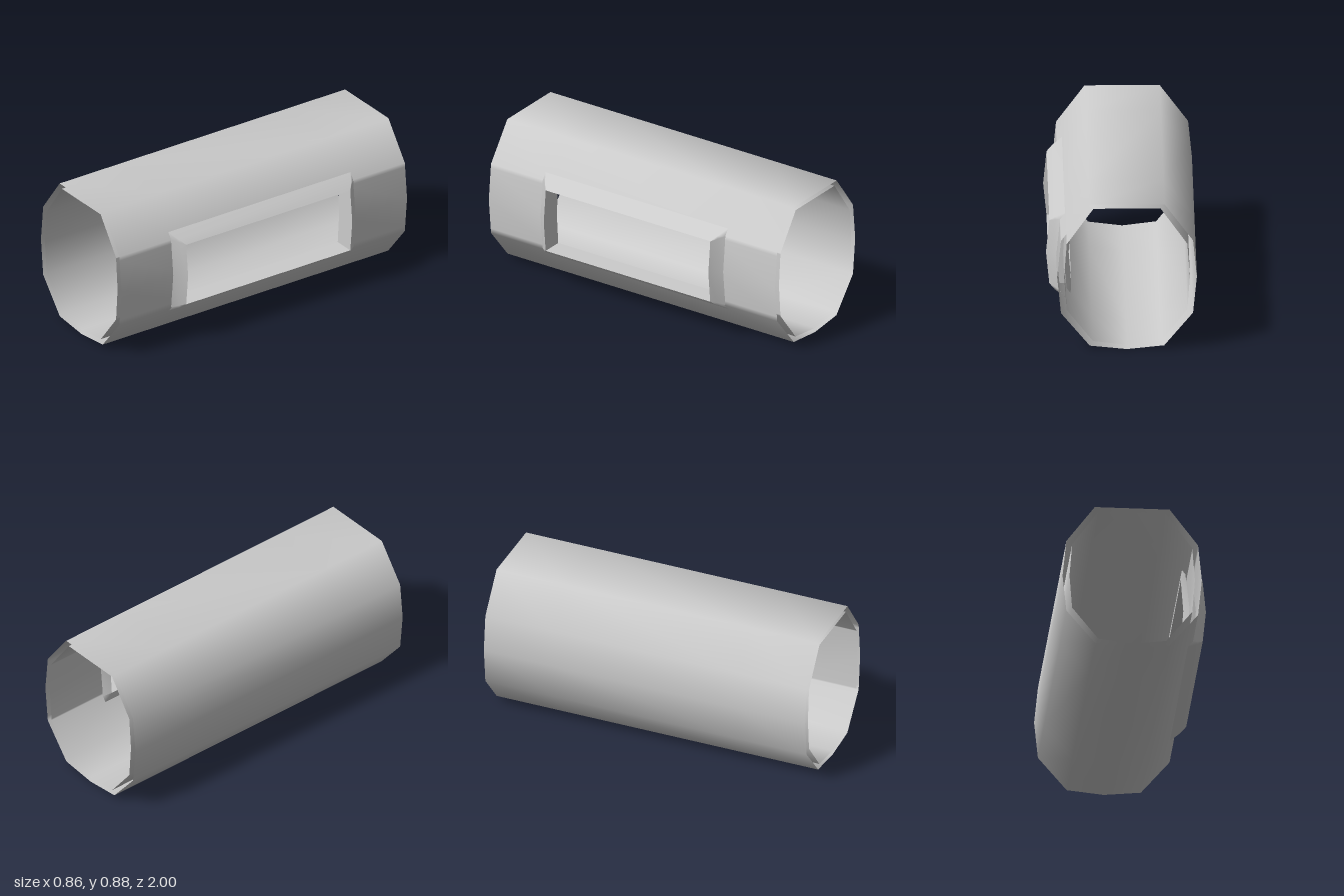
import * as THREE from 'three';

const CX = -0.035;               // tube axis
const Z = 0.575;                 // half length of the opening
const Y_LOW = 0.25, Y_MID = 0.44, Y_HIGH = 0.635;

// right half of each cross-section, bottom to top: [distance from axis, height]
const OUTER = [[0, 0], [0.213, 0.022], [0.378, 0.22], [0.4, Y_MID], [0.378, 0.66], [0.215, 0.88]];
const INNER = [[0, 0.026], [0.195, 0.05], [0.345, 0.24], [0.36, Y_MID], [0.345, 0.64], [0.192, 0.855]];

const material = new THREE.MeshStandardMaterial({ color: 0xcccccc, side: THREE.DoubleSide });

// x of the tube's right wall at height y
function wallX(half, y) {
  for (let i = 1; i < half.length; i++) {
    const [x0, y0] = half[i - 1], [x1, y1] = half[i];
    if (y <= y1) return CX + x0 + (x1 - x0) * (y - y0) / (y1 - y0);
  }
  return CX + half[half.length - 1][0];
}

function makeMesh(name, positions, index) {
  const g = new THREE.BufferGeometry();
  g.setAttribute('position', new THREE.Float32BufferAttribute(positions, 3));
  g.setIndex(index);
  g.computeVertexNormals();
  const mesh = new THREE.Mesh(g, material);
  mesh.name = name;
  return mesh;
}

// open-ended tube shell with a rectangular opening in its right wall
function shell(name, half, inward) {
  const right = half.map(([x, y]) => [CX + x, y]);
  for (const y of [Y_LOW, Y_HIGH]) right.push([wallX(half, y), y]);
  right.sort((a, b) => a[1] - b[1]);
  const left = half.slice(1).reverse().map(([x, y]) => [CX - x, y]);
  const loop = [...right, ...left];
  const zs = [-1, -Z, Z, 1], n = loop.length;
  const positions = [], index = [];
  for (const [x, y] of loop) for (const z of zs) positions.push(x, y, z);
  for (let i = 0; i < n; i++) {
    const next = (i + 1) % n;
    const y = (loop[i][1] + loop[next][1]) / 2;
    const openSide = loop[i][0] > 0.2 && loop[next][0] > 0.2 && y > Y_LOW && y < Y_HIGH;
    for (let j = 0; j < 3; j++) {
      if (openSide && j === 1) continue;
      const a = i * 4 + j, b = next * 4 + j, c = b + 1, d = a + 1;
      if (inward) index.push(a, c, b, a, d, c);
      else index.push(a, b, c, a, c, d);
    }
  }
  return makeMesh(name, positions, index);
}

// opening outline: [z sign, height, spread in y]
const side = [[1, Y_HIGH, 1], [1, Y_HIGH, 0.38], [1, Y_MID, 0], [1, Y_LOW, -0.38], [1, Y_LOW, -1]];
const outline = [...side, ...side.slice().reverse().map(([, y, s]) => [-1, y, s])];

// band lofted round the opening; each ring is [wall section, spread, lift in x]
function band(name, rings) {
  const positions = [], index = [], n = outline.length;
  for (const [half, spread, lift] of rings) {
    for (const [sz, y, sy] of outline) {
      const py = y + sy * spread;
      positions.push(wallX(half, py) + lift, py, sz * (Z + spread));
    }
  }
  for (let k = 0; k < rings.length - 1; k++) {
    for (let i = 0; i < n; i++) {
      const a = k * n + i, b = k * n + (i + 1) % n;
      index.push(a, b, b + n, a, b + n, a + n);
    }
  }
  return makeMesh(name, positions, index);
}

export function createModel() {
  const model = new THREE.Group();
  model.name = 'tubeWithWindow';

  // double-walled tube, open at both ends
  model.add(shell('outerShell', OUTER, false));
  model.add(shell('innerShell', INNER, true));

  // window frame: raised lips outside and inside, joined by the reveal
  const frame = new THREE.Group();
  frame.name = 'windowFrame';
  frame.add(band('outerLip', [[OUTER, 0.063, 0], [OUTER, 0.028, 0.03], [OUTER, 0, 0.058]]));
  frame.add(band('reveal', [[OUTER, 0, 0.058], [OUTER, 0, 0], [INNER, 0, 0], [INNER, 0, -0.032]]));
  frame.add(band('innerLip', [[INNER, 0, -0.032], [INNER, 0.045, 0]]));
  model.add(frame);

  return model;
}
